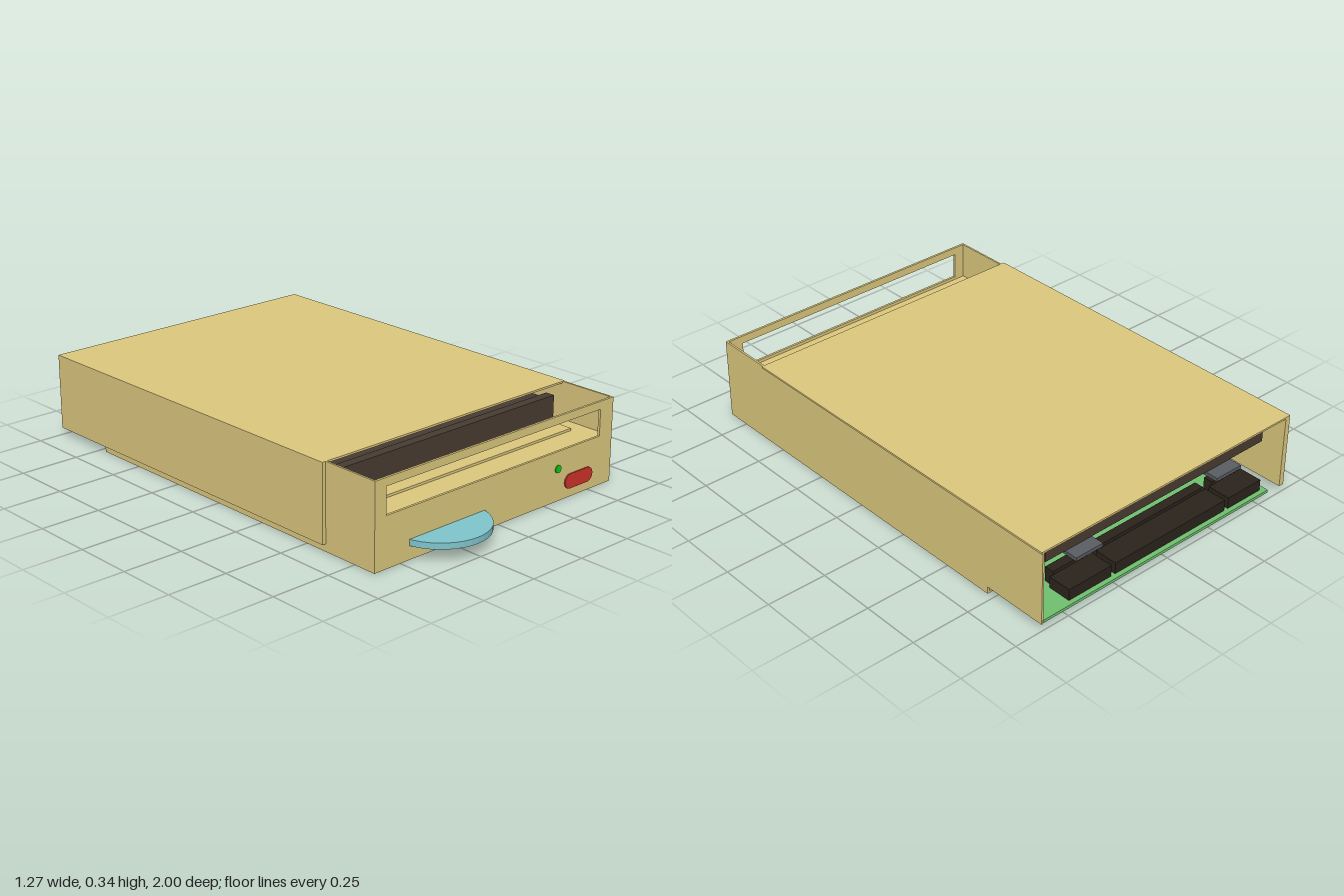
import * as THREE from 'three';

const mat = (color) => new THREE.MeshStandardMaterial({ color, flatShading: true, side: THREE.DoubleSide });

export function createModel() {
  const root = new THREE.Group();
  const beige = mat(0xdcc87e), dark = mat(0x483c32), board = mat(0x70c070), black = mat(0x2b231c);
  const steel = mat(0x5a5d63), cyan = mat(0x80c4cc), red = mat(0xcc3329), green = mat(0x14c814);

  const add = (name, geo, material, parent = root) => {
    const m = new THREE.Mesh(geo, material);
    m.name = name;
    parent.add(m);
    return m;
  };
  // Box given by its min and max on each axis
  const box = (name, material, x0, x1, y0, y1, z0, z1, parent) => {
    const m = add(name, new THREE.BoxGeometry(x1 - x0, y1 - y0, z1 - z0), material, parent);
    m.position.set((x0 + x1) / 2, (y0 + y1) / 2, (z0 + z1) / 2);
    return m;
  };
  const rect = (path, x0, x1, y0, y1) =>
    path.moveTo(x0, y0).lineTo(x1, y0).lineTo(x1, y1).lineTo(x0, y1).closePath();

  // Casing: bottom plate, cover and side walls notched at the lower rear
  box('bottomPlate', beige, -0.625, 0.63, 0, 0.008, -0.72, 0.845);
  box('topCover', beige, -0.64, 0.635, 0.337, 0.345, -1, 0.6);
  const wall = new THREE.Shape();
  [[-1, 0.03], [-0.72, 0.03], [-0.72, 0], [0.845, 0], [0.845, 0.345], [0.6, 0.345], [0.6, 0.337], [-1, 0.337]]
    .forEach(([z, y], i) => (i ? wall.lineTo(-z, y) : wall.moveTo(-z, y)));
  [[-0.625, 'rightWall'], [0.622, 'leftWall']].forEach(([x, name]) => {
    const m = add(name, new THREE.ExtrudeGeometry(wall, { depth: 0.008, bevelEnabled: false }), beige);
    m.rotation.y = Math.PI / 2;
    m.position.x = x;
  });
  box('coverSide', beige, -0.64, -0.625, 0.03, 0.337, -1, 0.6);

  // Front panel with the wide window
  const panel = new THREE.Shape();
  rect(panel, -0.625, 0.63, 0, 0.345);
  const windowHole = new THREE.Path();
  rect(windowHole, -0.57, 0.557, 0.203, 0.312);
  panel.holes.push(windowHole);
  add('frontPanel', new THREE.ExtrudeGeometry(panel, { depth: 0.01, bevelEnabled: false }), beige)
    .position.z = 0.84;

  // Inner floor behind the window and the deck on it
  box('innerFloor', beige, -0.617, 0.622, 0.18, 0.19, -0.6, 0.84);
  box('innerDeck', beige, -0.55, 0.55, 0.12, 0.2, -0.6, 0.715);

  // Dark drive unit under the cover
  box('driveBody', dark, -0.575, 0.55, 0.222, 0.29, -0.93, 0.6);
  box('driveFace', dark, -0.575, 0.552, 0.2, 0.31, 0.58, 0.62);
  [0.39, -0.33].forEach((x) => box('rearBracket', steel, x - 0.065, x + 0.065, 0.207, 0.222, -0.985, -0.88));

  // Circuit board with its rear connectors and chips
  const electronics = new THREE.Group();
  electronics.name = 'circuitBoard';
  root.add(electronics);
  box('board', board, -0.575, 0.6, 0.01, 0.022, -0.98, -0.5, electronics);
  [[0.25, 0.46], [-0.35, 0.23], [-0.55, -0.37]].forEach(([a, b]) => {
    box('connector', black, a, b, 0.022, 0.07, -0.96, -0.86, electronics);
    box('connectorBack', black, a + 0.015, b - 0.015, 0.022, 0.085, -0.86, -0.82, electronics);
  });
  [[0.4, 0.53], [0.12, 0.35], [-0.36, -0.25], [-0.53, -0.42]].forEach(([a, b]) =>
    box('chip', black, a, b, 0.022, 0.05, -0.72, -0.64, electronics));

  // Disc sticking out of the front
  const disc = add('disc', new THREE.CylinderGeometry(0.197, 0.197, 0.025, 40), cyan);
  disc.position.set(-0.265, 0.067, 0.803);

  // Pill button and round lamp
  const pill = new THREE.Shape();
  pill.absarc(0.49, 0.065, 0.03, -Math.PI / 2, Math.PI / 2);
  pill.absarc(0.393, 0.065, 0.03, Math.PI / 2, Math.PI * 1.5);
  add('button', new THREE.ExtrudeGeometry(pill, { depth: 0.01, bevelEnabled: false }), red).position.z = 0.845;
  const lamp = add('lamp', new THREE.CylinderGeometry(0.016, 0.016, 0.01, 20), green);
  lamp.rotation.x = Math.PI / 2;
  lamp.position.set(0.323, 0.132, 0.849);

  return root;
}
